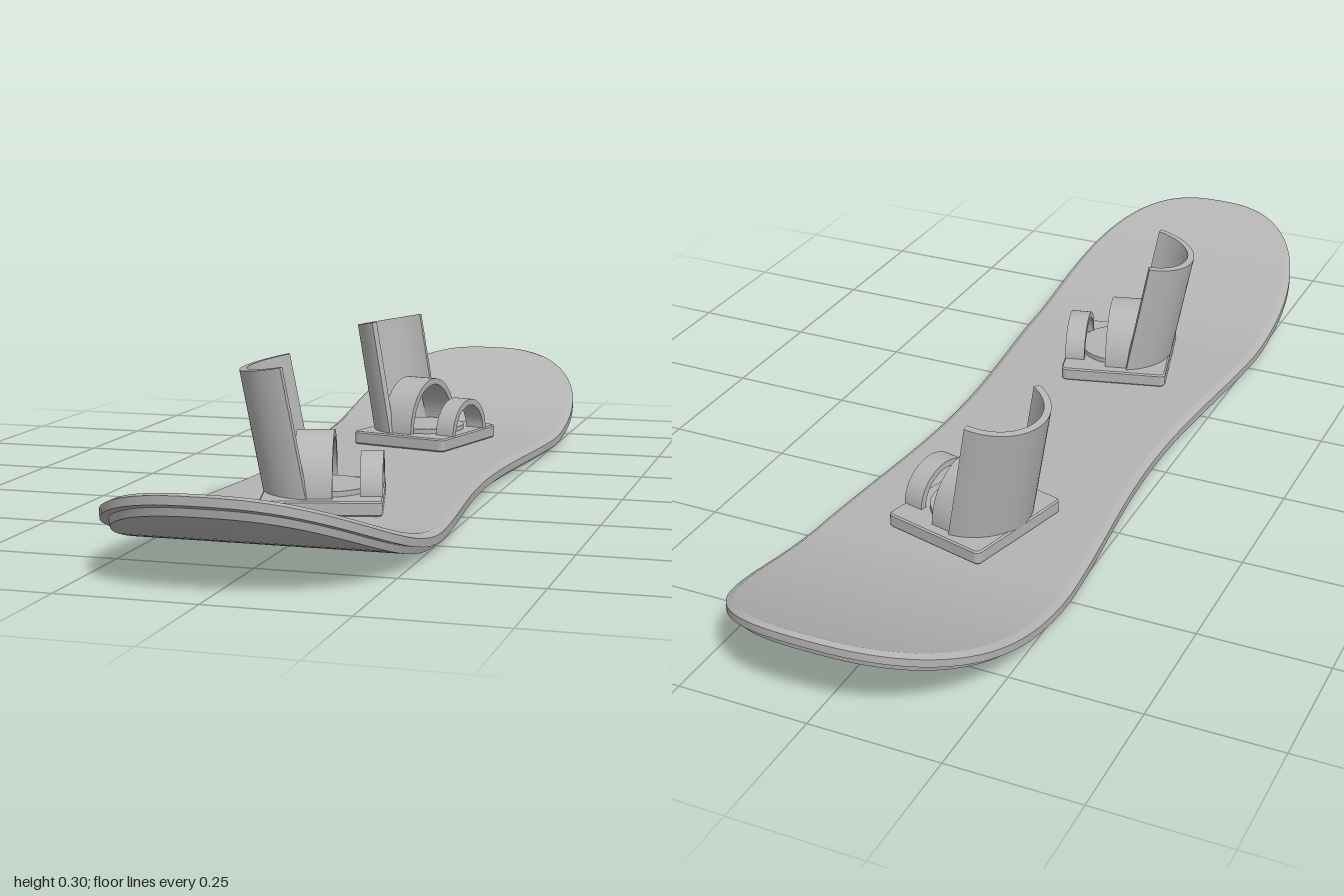
import * as THREE from 'three';

const gray = new THREE.MeshStandardMaterial({ color: 0xb4b4b4 });
gray.name = 'gray';

function add(parent, name, geometry, x = 0, y = 0, z = 0) {
  const mesh = new THREE.Mesh(geometry, gray);
  mesh.name = name;
  mesh.position.set(x, y, z);
  parent.add(mesh);
  return mesh;
}

// ---- board ----
// upward curve of nose and tail
const rise = z => 0.142 * Math.pow(Math.max(0, (Math.abs(z) - 0.5) / 0.5), 1.7);

// one side of the outline, nose to tail: [half width, z]
function sideOutline() {
  const half = [];
  const tipSteps = 24, waistSteps = 14;
  for (let i = 0; i <= tipSteps; i++) {
    const a = (i / tipSteps) * Math.PI / 2;
    half.push([0.267 * Math.pow(Math.sin(a), 2 / 2.6), 0.6 + 0.4 * Math.pow(Math.cos(a), 2 / 2.6)]);
  }
  for (let i = 1; i <= waistSteps; i++) {
    const z = 0.6 * (1 - i / waistSteps);
    half.push([0.2475 - 0.0195 * Math.cos(Math.PI * z / 0.6), z]);
  }
  half[0][0] = 0;
  return half.concat(half.slice(0, -1).reverse().map(([x, z]) => [x, -z]));
}

// outline moved inward along its normal
function insetOutline(pts, d) {
  return pts.map(([x, z], i) => {
    const a = pts[Math.max(0, i - 1)], b = pts[Math.min(pts.length - 1, i + 1)];
    let nx = a[1] - b[1], nz = b[0] - a[0];
    if (i === 0 || i === pts.length - 1) { nx = 0; nz = Math.sign(z); }
    const len = Math.hypot(nx, nz);
    return [x - d * nx / len, z - d * nz / len];
  });
}

// surface between two equally long rows of points
function strip(rowA, rowB) {
  const pos = [], index = [], n = rowA.length;
  for (const p of [...rowA, ...rowB]) pos.push(...p);
  for (let i = 0; i < n - 1; i++) index.push(i, n + i, i + 1, i + 1, n + i, n + i + 1);
  const g = new THREE.BufferGeometry();
  g.setAttribute('position', new THREE.Float32BufferAttribute(pos, 3));
  g.setIndex(index);
  g.computeVertexNormals();
  return g;
}

function buildBoard() {
  const board = new THREE.Group();
  board.name = 'board';
  const outline = sideOutline();
  // cross-section of the rim: inset, height
  const rim = [[0.017, 0], [0.014, 0.013], [0, 0.013], [0, 0.028], [0.013, 0.036]];
  const names = ['baseSide', 'edgeUnderside', 'edgeSide', 'topBevel'];
  const rows = rim.map(([d, y]) => insetOutline(outline, d).map(([x, z]) => [x, y + rise(z), z]));
  const mirror = row => row.map(([x, y, z]) => [-x, y, z]);
  names.forEach((name, i) => {
    add(board, name + 'Left', strip(rows[i + 1], rows[i]));
    add(board, name + 'Right', strip(mirror(rows[i]), mirror(rows[i + 1])));
  });
  add(board, 'base', strip(rows[0], mirror(rows[0])));
  add(board, 'topSheet', strip(mirror(rows[4]), rows[4]));
  return board;
}

// ---- bindings ----
function roundedPlate(w, l, h, r) {
  const s = new THREE.Shape(), x = w / 2 - r, y = l / 2 - r;
  s.absarc(x, y, r, 0, Math.PI / 2);
  s.absarc(-x, y, r, Math.PI / 2, Math.PI);
  s.absarc(-x, -y, r, Math.PI, Math.PI * 1.5);
  s.absarc(x, -y, r, Math.PI * 1.5, Math.PI * 2);
  const g = new THREE.ExtrudeGeometry(s, {
    depth: h - 0.006, bevelEnabled: true, bevelThickness: 0.003, bevelSize: 0.003,
    bevelOffset: -0.003, bevelSegments: 1, curveSegments: 4
  });
  return g.translate(0, 0, 0.003).rotateX(-Math.PI / 2);
}

// band of an elliptical ring, extruded
function arcBand(rx, ry, t, from, to, depth, segments) {
  const s = new THREE.Shape();
  s.absellipse(0, 0, rx, ry, from, to, false);
  s.absellipse(0, 0, rx - t, ry - t, to, from, true);
  return new THREE.ExtrudeGeometry(s, { depth, bevelEnabled: false, curveSegments: segments });
}

// strap arching across the foot, along z
const strap = (half, height, width) =>
  arcBand(half, height, 0.013, 0, Math.PI, width, 20).translate(0, 0, -width / 2).rotateY(Math.PI / 2);

function buildBinding(side) {
  const binding = new THREE.Group();
  binding.name = side > 0 ? 'frontBinding' : 'rearBinding';
  add(binding, 'basePlate', roundedPlate(0.225, 0.245, 0.028, 0.012), 0, 0.036, 0);
  add(binding, 'disc', new THREE.CylinderGeometry(0.085, 0.085, 0.012, 32), 0, 0.068, 0);
  const spread = 1.33;
  const back = arcBand(0.111, 0.111, 0.014, Math.PI - spread, Math.PI + spread, 0.253, 18);
  add(binding, 'highback', back.rotateX(-Math.PI / 2), 0, 0.06, 0).rotation.z = 0.185;
  add(binding, 'ankleStrap', strap(0.1, 0.112, 0.07), -0.015, 0.063, 0);
  add(binding, 'toeStrap', strap(0.075, 0.073, 0.042), 0.09, 0.063, 0);
  binding.position.z = side * 0.365;
  binding.rotation.y = side * 0.255;
  return binding;
}

export function createModel() {
  const model = new THREE.Group();
  model.name = 'snowboard';
  model.add(buildBoard(), buildBinding(1), buildBinding(-1));
  return model;
}
